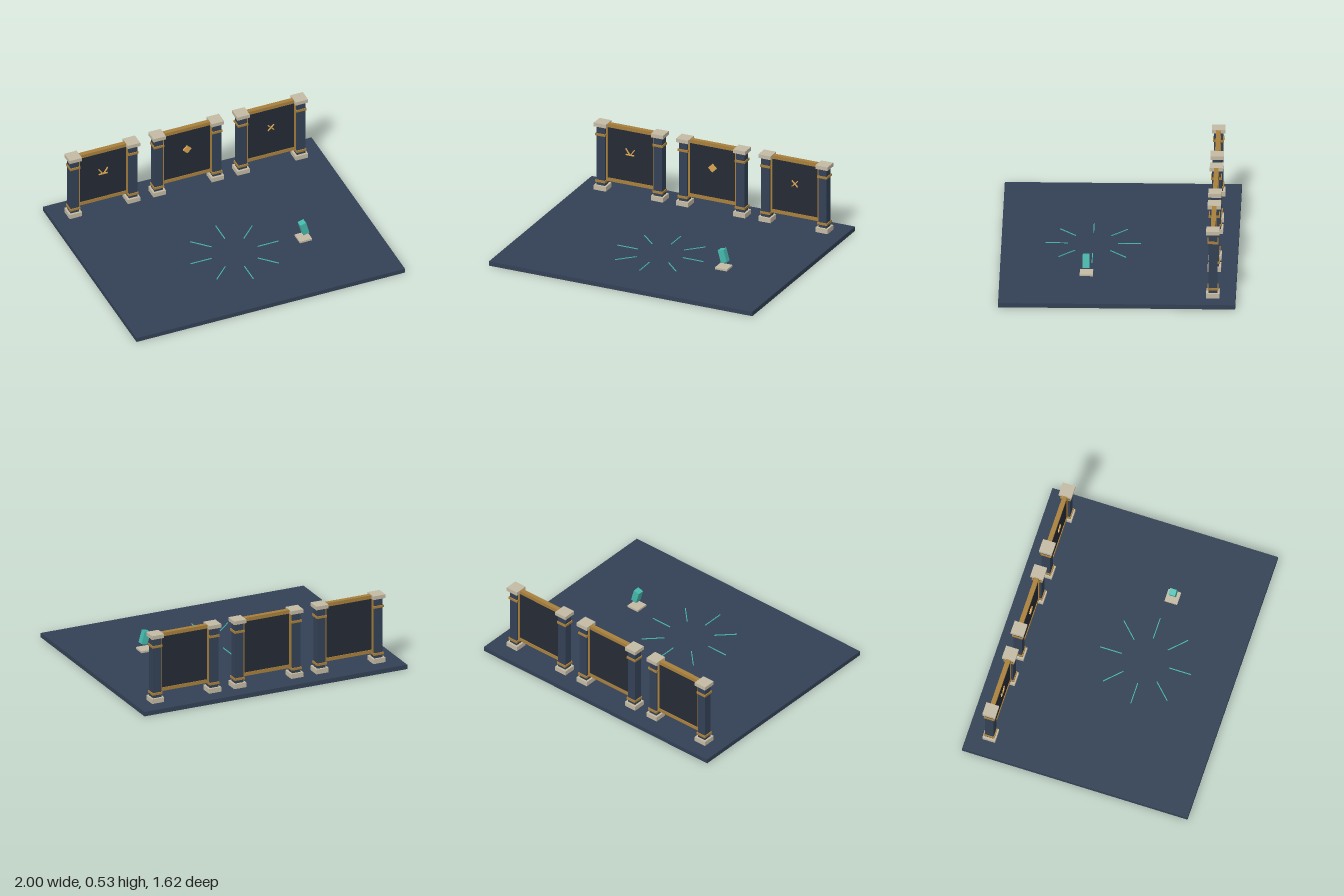
import * as THREE from 'three';

const mat = (color) => new THREE.MeshStandardMaterial({ color });
const slate = mat(0x334155), dark = mat(0x252a35), gold = mat(0xa8803c);
const stone = mat(0xc4baa4), brightGold = mat(0xd9a550), teal = mat(0x45b8ac);

const FLOOR = 0.032;
const GATE_Z = -0.656;

function box(parent, name, material, [w, h, d], [x, y, z], rotZ = 0) {
  const mesh = new THREE.Mesh(new THREE.BoxGeometry(w, h, d), material);
  mesh.name = name;
  mesh.position.set(x, y, z);
  mesh.rotation.z = rotZ;
  parent.add(mesh);
  return mesh;
}

// Square column with foot, cap and two gold bands
function column(x) {
  const g = new THREE.Group();
  g.name = 'column';
  g.position.x = x;
  box(g, 'columnBase', stone, [0.092, 0.034, 0.092], [0, FLOOR + 0.017, 0]);
  box(g, 'columnShaft', slate, [0.063, 0.45, 0.061], [0, 0.285, 0]);
  box(g, 'columnCap', stone, [0.092, 0.027, 0.092], [0, 0.517, 0]);
  for (const y of [0.096, 0.443]) box(g, 'columnBand', gold, [0.076, 0.016, 0.076], [0, y, 0]);
  return g;
}

// Raised sign on the front of a panel
function emblem(kind) {
  const g = new THREE.Group();
  g.name = 'emblem';
  g.position.set(0, 0.347, 0.016);
  const bar = (len, x, y, rot) => box(g, 'emblemBar', brightGold, [len, 0.007, 0.008], [x, y, 0], rot);
  if (kind === 0) {
    bar(0.064, 0, -0.022, 0);
    bar(0.055, -0.018, 0, -0.97);
    bar(0.055, 0.018, 0, 0.97);
  } else if (kind === 1) {
    box(g, 'emblemDiamond', brightGold, [0.045, 0.045, 0.01], [0, 0, 0], Math.PI / 4);
  } else {
    bar(0.062, 0, 0, Math.PI / 4);
    bar(0.062, 0, 0, -Math.PI / 4);
  }
  return g;
}

// Framed panel hung between two columns
function gate(x, kind) {
  const g = new THREE.Group();
  g.name = 'gate';
  g.position.set(x, 0, GATE_Z);
  box(g, 'panel', dark, [0.36, 0.41, 0.022], [0, 0.315, 0]);
  box(g, 'topRail', gold, [0.372, 0.026, 0.032], [0, 0.516, 0]);
  box(g, 'bottomRail', gold, [0.372, 0.025, 0.032], [0, 0.114, 0]);
  for (const s of [-1, 1]) {
    box(g, 'sideRail', gold, [0.016, 0.405, 0.032], [s * 0.18, 0.315, 0]);
    g.add(column(s * 0.217));
  }
  g.add(emblem(kind));
  return g;
}

export function createModel() {
  const model = new THREE.Group();
  model.name = 'gateCourt';

  box(model, 'floor', slate, [2, FLOOR, 1.624], [0, FLOOR / 2, 0]);
  [-0.625, 0, 0.625].forEach((x, i) => model.add(gate(x, i)));

  // Ring of inlaid floor rays
  const rays = new THREE.Group();
  rays.name = 'floorRays';
  rays.position.set(0, FLOOR + 0.002, 0.184);
  for (let i = 0; i < 8; i++) {
    const a = (i * Math.PI) / 4;
    const ray = box(rays, 'ray', teal, [0.156, 0.005, 0.006], [Math.cos(a) * 0.249, 0, Math.sin(a) * 0.249]);
    ray.rotation.y = -a;
  }
  model.add(rays);

  // Tilted block floating over its plinth
  box(model, 'plinth', stone, [0.091, 0.014, 0.091], [0.498, FLOOR + 0.007, 0.218]);
  box(model, 'floatingBlock', teal, [0.045, 0.092, 0.047], [0.498, 0.127, 0.22], 0.27);

  return model;
}
